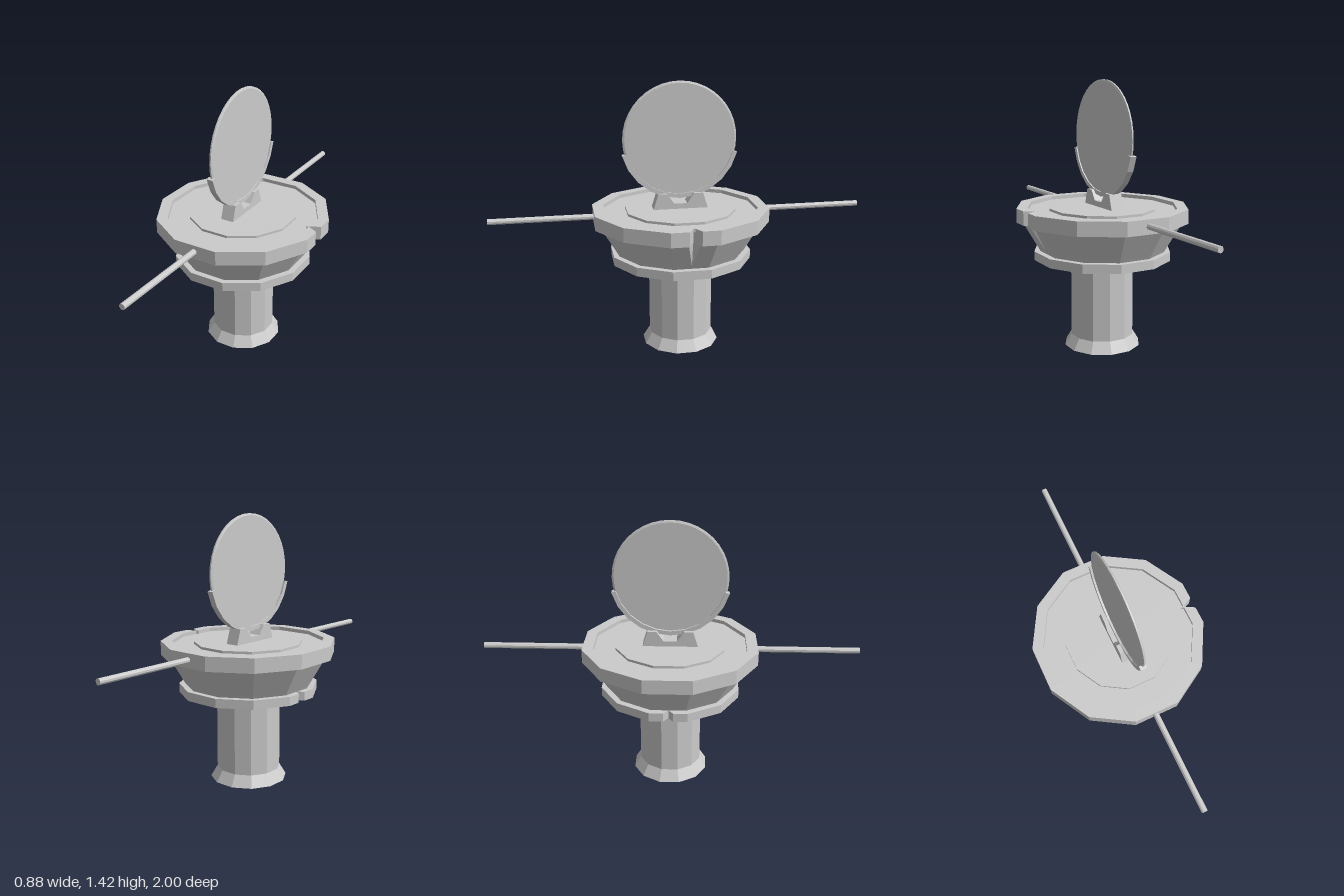
import * as THREE from 'three';

const mat = new THREE.MeshStandardMaterial({ color: 0xcccccc, flatShading: true, side: THREE.DoubleSide });

// Twelve-sided loop: half-width a across flats, with an optional V notch (half-width w, depth d) on +x
function loop(y, a, w = 0, d = 0) {
  const pts = [[a, w], [a - d, 0], [a, -w]];
  const r = a / Math.cos(Math.PI / 12);
  for (let k = 0; k < 12; k++) {
    const t = Math.PI / 12 + k * Math.PI / 6;
    pts.push([r * Math.cos(t), -r * Math.sin(t)]);
  }
  return pts.map(([x, z]) => [x, y, z]);
}

// Skin successive loops, listed from the bottom axis outwards and up to the top axis
function loft(sections) {
  const loops = sections.map(s => loop(...s));
  const pos = [];
  for (let i = 0; i < loops.length - 1; i++) {
    const n = loops[i].length;
    for (let j = 0; j < n; j++) {
      const k = (j + 1) % n;
      const a = loops[i][j], b = loops[i][k], c = loops[i + 1][k], d = loops[i + 1][j];
      for (const tri of [[a, b, c], [a, c, d]]) {
        const [p, q, r] = tri.map(v => new THREE.Vector3(...v));
        if (q.sub(p).cross(r.sub(p)).length() > 1e-8) tri.forEach(v => pos.push(...v));
      }
    }
  }
  const g = new THREE.BufferGeometry();
  g.setAttribute('position', new THREE.Float32BufferAttribute(pos, 3));
  g.computeVertexNormals();
  return g;
}

// Extrude a side outline (z, y) to a given width centred on x
function sideExtrude(shape, width, x) {
  const g = new THREE.ExtrudeGeometry(shape, { depth: width, bevelEnabled: false });
  g.translate(0, 0, -width / 2);
  g.rotateY(Math.PI / 2);
  g.translate(x, 0, 0);
  return g;
}

export function createModel() {
  const model = new THREE.Group();
  const add = (name, geometry, material = mat) => {
    const m = new THREE.Mesh(geometry, material);
    m.name = name;
    model.add(m);
    return m;
  };

  // Pedestal with flared foot and neck
  add('pedestal', loft([[0, 0], [0, 0.2], [0.06, 0.165], [0.43, 0.165], [0.485, 0.2], [0.485, 0]]));

  // Lower plate, notched on -x
  const plate = add('lowerPlate', loft([
    [0.485, 0], [0.485, 0.362, 0.025, 0.035], [0.532, 0.362, 0.025, 0.035], [0.532, 0],
  ]));
  plate.rotation.y = Math.PI;
  plate.scale.set(0.98, 1, 1.01);

  // Bowl and rim with a tapering notch on +x, sunken top and raised centre
  const bowl = add('bowlAndRim', loft([
    [0.53, 0], [0.53, 0.328], [0.55, 0.339], [0.69, 0.418, 0.03, 0.045],
    [0.69, 0.45, 0.03, 0.07], [0.765, 0.45, 0.03, 0.07], [0.765, 0.393, 0, 0.013],
    [0.745, 0.393], [0.745, 0.28], [0.758, 0.28], [0.758, 0],
  ]));
  bowl.scale.set(0.98, 1, 1.02);

  // Rods reaching out front and back
  for (const s of [1, -1]) {
    const rod = new THREE.CylinderGeometry(0.016, 0.016, 0.6, 10);
    rod.rotateX(Math.PI / 2);
    rod.translate(-0.004, 0.73, s * 0.7);
    add(s > 0 ? 'frontRod' : 'backRod', rod);
  }

  // Two-horned bracket
  const half = [[0.148, 0.75], [0.12, 0.84], [0.072, 0.84], [0.035, 0.787]];
  const outline = [...half, ...half.map(([z, y]) => [-z, y]).reverse()];
  add('bracket', sideExtrude(new THREE.Shape(outline.map(p => new THREE.Vector2(...p))), 0.072, -0.011));

  // Cradle arc hugging the lower half of the disc
  const arc = r => Array.from({ length: 11 }, (_, i) => {
    const t = THREE.MathUtils.degToRad(-14 - i * 15.2);
    return new THREE.Vector2(r * Math.cos(t), 1.125 + r * Math.sin(t));
  });
  add('cradle', sideExtrude(new THREE.Shape([...arc(0.313), ...arc(0.29).reverse()]), 0.034, -0.008));

  // Thin upright disc with a bevelled edge
  const profile = [[0, -0.008], [0.29, -0.008], [0.3, -0.004], [0.3, 0.004], [0.29, 0.008], [0, 0.008]];
  const disc = new THREE.LatheGeometry(profile.map(p => new THREE.Vector2(...p)), 40);
  disc.rotateZ(Math.PI / 2);
  disc.translate(-0.006, 1.125, 0);
  add('disc', disc);

  return model;
}
